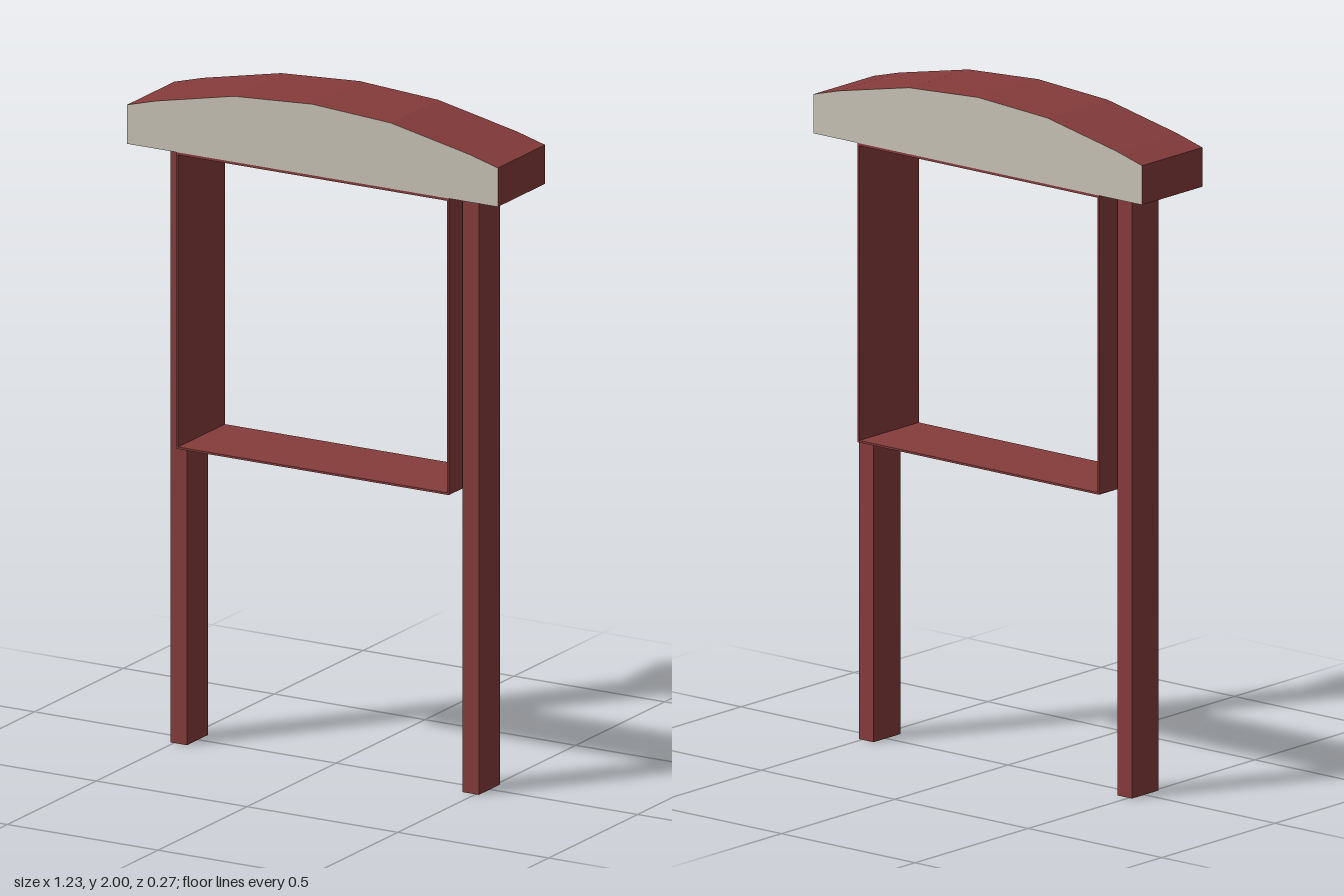
import * as THREE from 'three';

export function createModel() {
  const group = new THREE.Group();
  const red = new THREE.MeshStandardMaterial({ color: 0x863b3b });
  red.name = 'dark red paint';
  const cream = new THREE.MeshStandardMaterial({ color: 0xc9c4b6 });
  cream.name = 'cream panel';

  // Box given by its minimum and maximum corners
  const box = (name, x0, x1, y0, y1, z0, z1) => {
    const mesh = new THREE.Mesh(new THREE.BoxGeometry(x1 - x0, y1 - y0, z1 - z0), red);
    mesh.position.set((x0 + x1) / 2, (y0 + y1) / 2, (z0 + z1) / 2);
    mesh.name = name;
    group.add(mesh);
  };

  // Posts and the thin side walls of the open box
  for (const [side, s] of [['left', 1], ['right', -1]]) {
    const span = (a, b) => (s > 0 ? [a, b] : [-b, -a]);
    box(side + 'Post', ...span(0.457, 0.511), 0, 1.788, -0.055, 0.063);
    box(side + 'Wall', ...span(0.446, 0.452), 0.903, 1.788, -0.131, 0.132);
  }

  // Shelf and ceiling of the open box
  box('shelf', -0.446, 0.446, 0.903, 0.909, -0.131, 0.132);
  box('ceiling', -0.446, 0.446, 1.78, 1.788, -0.131, 0.132);

  // Arched header: cream front and back, red rim
  const half = [[0.26, 1.984], [0.52, 1.93], [0.615, 1.904], [0.615, 1.788]];
  const outline = [
    ...half.map(([x, y]) => [-x, y]).reverse(),
    [0, 2],
    ...half,
  ].map(([x, y]) => new THREE.Vector2(x, y));
  const depth = 0.266;
  const arch = new THREE.ExtrudeGeometry(new THREE.Shape(outline), { depth, bevelEnabled: false });
  arch.translate(0, 0, -depth / 2);
  const header = new THREE.Mesh(arch, [cream, red]);
  header.name = 'archedHeader';
  group.add(header);

  return group;
}
